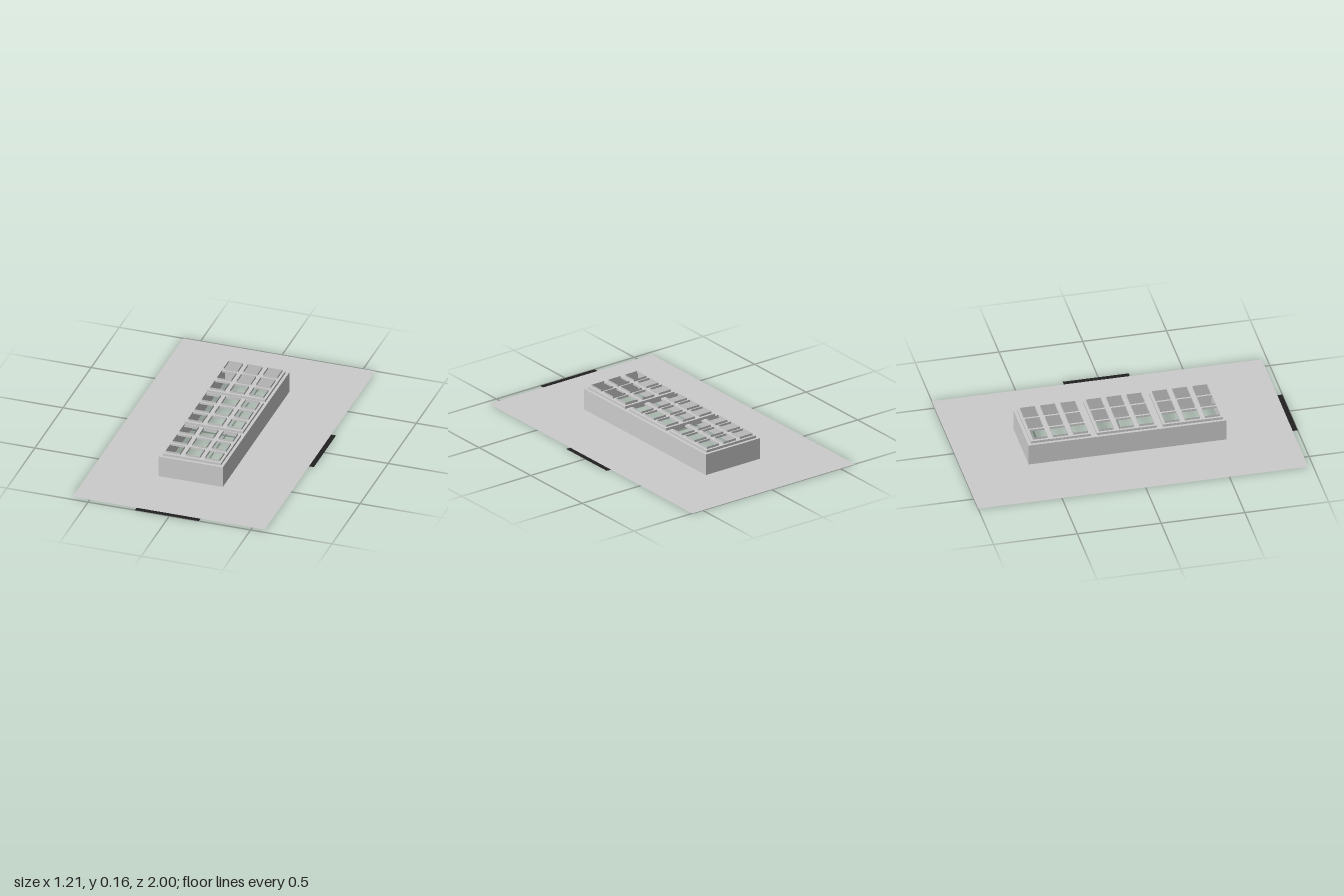
import * as THREE from 'three';

const M = 0.394;      // layout module
const C = -0.015;     // centre of the sheet in x and z
const Y = [0, 0.131, 0.146, 0.159]; // sheet, roof, tray and collar heights

const grey = new THREE.MeshStandardMaterial({ color: 0xcccccc, side: THREE.DoubleSide });
grey.name = 'lightGrey';
const black = new THREE.MeshStandardMaterial({ color: 0x202020, side: THREE.DoubleSide });
black.name = 'black';

// Rectangle given by centre and full size, in sheet coordinates
const rect = (x, z, w, d) => ({ x, z, w, d });

function outline(path, r) {
  const x = r.w / 2, z = r.d / 2;
  path.moveTo(r.x - x, -r.z - z);
  path.lineTo(r.x + x, -r.z - z);
  path.lineTo(r.x + x, -r.z + z);
  path.lineTo(r.x - x, -r.z + z);
  path.closePath();
  return path;
}

// Flat horizontal sheet with rectangular openings, facing up
function sheet(name, r, y, holes = [], material = grey) {
  const shape = outline(new THREE.Shape(), r);
  shape.holes = holes.map((h) => outline(new THREE.Path(), h));
  const mesh = new THREE.Mesh(new THREE.ShapeGeometry(shape).rotateX(-Math.PI / 2), material);
  mesh.position.y = y;
  mesh.name = name;
  return mesh;
}

// Four thin upright walls around a rectangle
function walls(name, r, y0, y1) {
  const group = new THREE.Group();
  group.name = name;
  for (let i = 0; i < 4; i++) {
    const a = (i * Math.PI) / 2;
    const width = i % 2 ? r.d : r.w;
    const offset = (i % 2 ? r.w : r.d) / 2;
    const wall = new THREE.Mesh(new THREE.PlaneGeometry(width, y1 - y0), grey);
    wall.rotation.y = a;
    wall.position.set(r.x + Math.sin(a) * offset, (y0 + y1) / 2, r.z + Math.cos(a) * offset);
    wall.name = name + 'Side';
    group.add(wall);
  }
  return group;
}

export function createModel() {
  const model = new THREE.Group();
  model.name = 'skylightPanel';

  // Base sheet, open beneath the raised shaft
  const shaft = rect(C, C, M, 3 * M);
  model.add(sheet('baseSheet', rect(C, C, 3 * M, 5 * M), Y[0], [shaft]));
  model.add(walls('shaftWalls', shaft, Y[0], Y[1]));

  // Three raised trays, each with a 3 x 3 set of open collars
  const trays = [-1, 0, 1].map((i) => rect(C, C + i * M, 0.359, 0.359));
  model.add(sheet('shaftRoof', shaft, Y[1], trays));
  for (const tray of trays) {
    const group = new THREE.Group();
    group.name = 'skylightTray';
    const openings = [];
    for (const i of [-1, 0, 1]) {
      for (const j of [-1, 0, 1]) {
        openings.push(rect(tray.x + i * 0.1205, tray.z + j * 0.1205, 0.089, 0.089));
      }
    }
    group.add(walls('trayRim', tray, Y[1], Y[2]));
    group.add(sheet('trayTop', tray, Y[2], openings));
    for (const o of openings) group.add(walls('openingCollar', o, Y[2], Y[3]));
    model.add(group);
  }

  // Dark marker strips on the front and left edges
  model.add(sheet('frontStrip', rect(C, 0.985, M, 0.03), Y[0], [], black));
  model.add(sheet('leftStrip', rect(0.591, C, 0.03, M), Y[0], [], black));
  return model;
}
